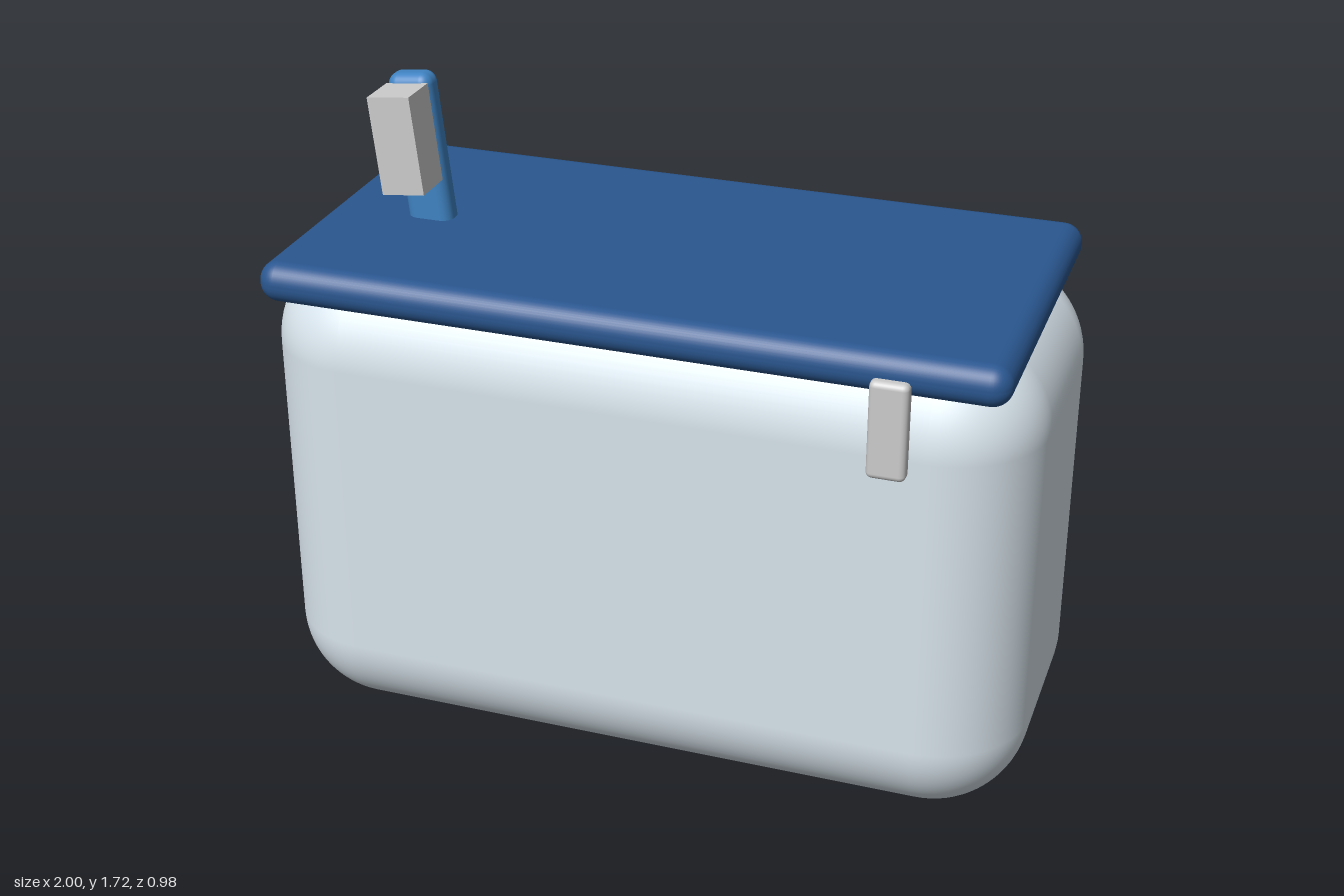
import * as THREE from 'three';
import { RoundedBoxGeometry } from 'three/addons/geometries/RoundedBoxGeometry.js';

// Box given by its extents on each axis; radius 0 keeps sharp edges
function block(name, [x0, x1], [y0, y1], [z0, z1], radius, color, segments = 5) {
  const size = [x1 - x0, y1 - y0, z1 - z0];
  const geometry = radius > 0
    ? new RoundedBoxGeometry(...size, segments, radius)
    : new THREE.BoxGeometry(...size);
  const mesh = new THREE.Mesh(geometry, new THREE.MeshStandardMaterial({ color }));
  mesh.name = name;
  mesh.position.set((x0 + x1) / 2, (y0 + y1) / 2, (z0 + z1) / 2);
  return mesh;
}

export function createModel() {
  const model = new THREE.Group();
  model.name = 'coolBox';

  // Heavily rounded tub with an overhanging lid
  model.add(block('body', [-1, 1], [0, 1.31], [-0.455, 0.435], 0.25, 0xd8e4ec, 10));
  model.add(block('lid', [-0.945, 0.94], [1.23, 1.335], [-0.49, 0.465], 0.05, 0x2a5790));

  // Latch hanging from the front of the lid
  model.add(block('latch', [0.62, 0.715], [1.03, 1.28], [0.445, 0.49], 0.015, 0xcccccc, 3));

  // Leaning post with a grip block on its front, pivoting at the lid surface
  const handle = new THREE.Group();
  handle.name = 'handle';
  handle.position.set(-0.658, 1.335, 0);
  handle.rotation.z = 0.11;
  handle.add(block('handlePost', [-0.06, 0.06], [-0.05, 0.383], [-0.02, 0.055], 0.03, 0x3f83c2));
  handle.add(block('handleGrip', [-0.057, 0.057], [0.107, 0.362], [0.05, 0.165], 0, 0xcccccc));
  model.add(handle);

  return model;
}
